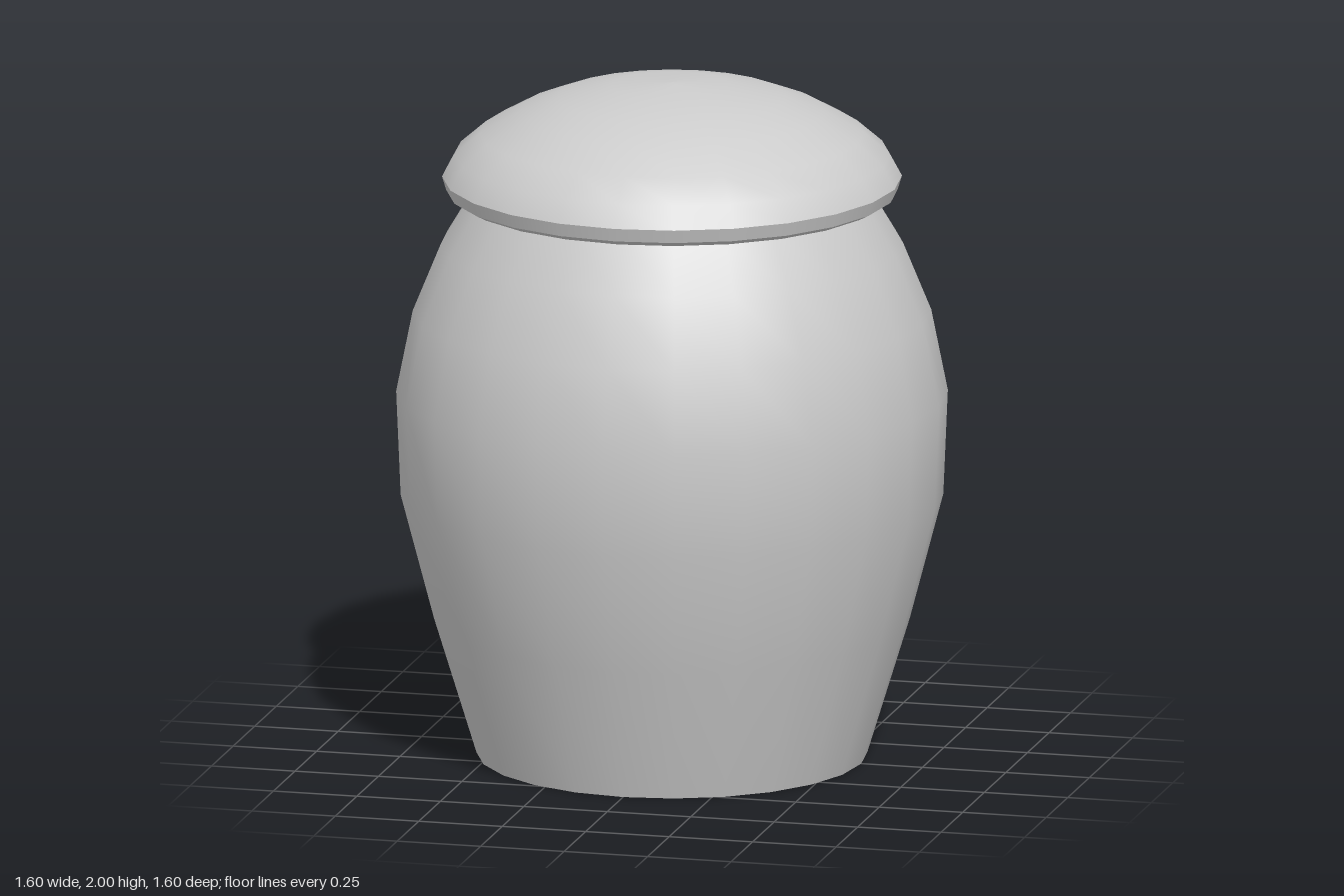
import * as THREE from 'three';

const SIDES = 24;
const material = new THREE.MeshStandardMaterial({ color: 0xcccccc, side: THREE.DoubleSide });

// Revolves a [radius, height] profile, listed from bottom to top
function turned(name, profile) {
  const points = profile.map(([r, y]) => new THREE.Vector2(r, y));
  const mesh = new THREE.Mesh(new THREE.LatheGeometry(points, SIDES), material);
  mesh.name = name;
  return mesh;
}

export function createModel() {
  const model = new THREE.Group();
  model.name = 'liddedJar';

  // Hollow belly, open underneath, its neck tucked inside the lid
  model.add(turned('body', [
    [0.567, 0], [0.69, 0.4], [0.787, 0.77], [0.8, 1.08],
    [0.752, 1.32], [0.67, 1.52], [0.58, 1.67], [0.54, 1.72],
  ]));

  // Lid: separate pieces keep the edges of the rim crisp
  const lid = new THREE.Group();
  lid.name = 'lid';
  lid.add(
    turned('lidUnderside', [[0.56, 1.664], [0.625, 1.664]]),
    turned('lidBevel', [[0.625, 1.664], [0.655, 1.68]]),
    turned('lidRim', [[0.655, 1.68], [0.667, 1.72]]),
    turned('lidDome', [
      [0.667, 1.72], [0.632, 1.785], [0.557, 1.85], [0.44, 1.915],
      [0.33, 1.957], [0.175, 1.99], [0, 2],
    ]),
  );
  model.add(lid);
  return model;
}
